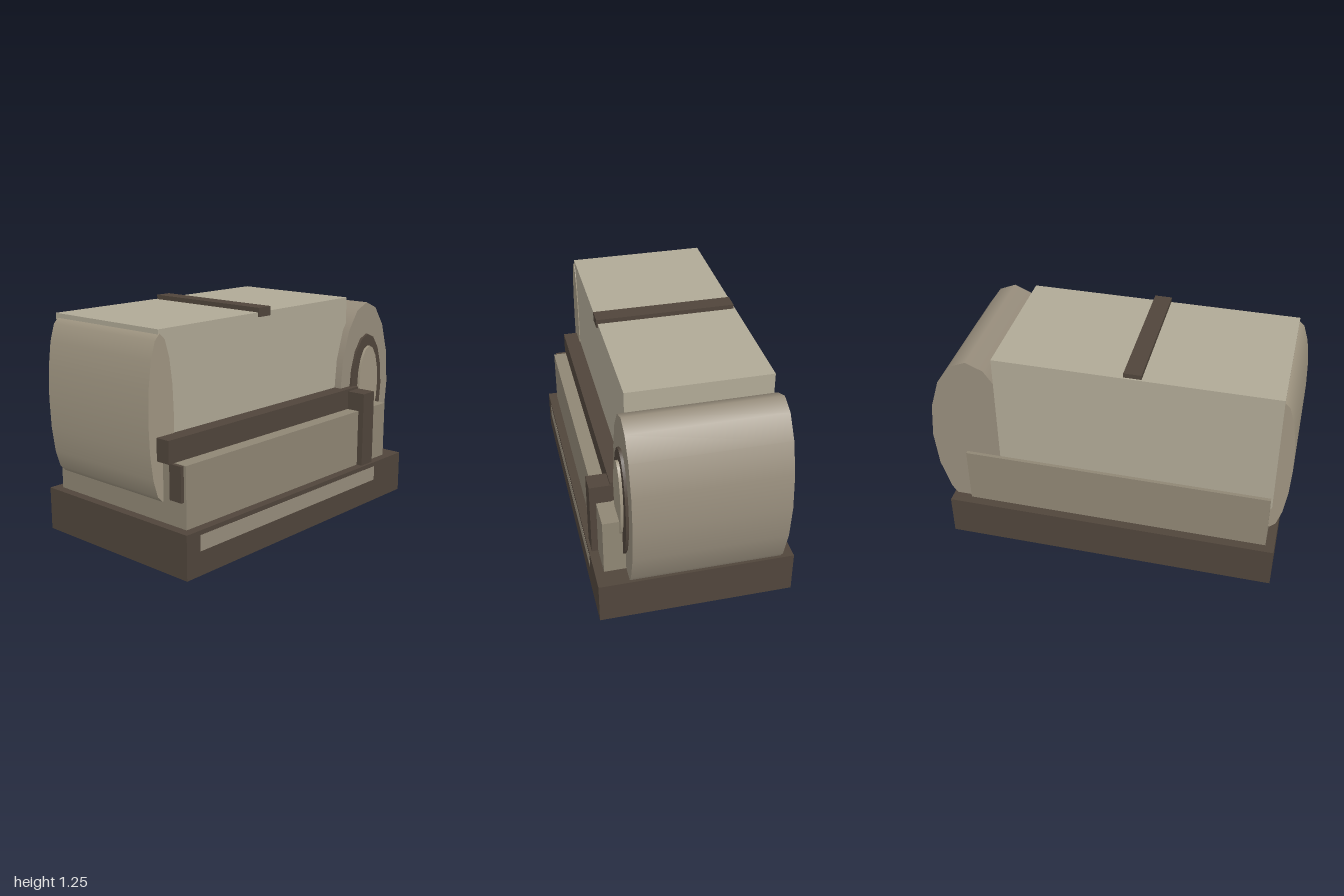
import * as THREE from 'three';

const mat = (color) => new THREE.MeshStandardMaterial({ color });

export function createModel() {
  const model = new THREE.Group();
  const dark = mat(0x50453b);
  const pale = mat(0xb0a996);
  const mid = mat(0x8f8674);
  const drumTone = mat(0x978d7c);
  const discTone = mat(0xa09682);

  // Box given by its limits along each axis
  function box(name, material, [x0, x1], [y0, y1], [z0, z1]) {
    const mesh = new THREE.Mesh(new THREE.BoxGeometry(x1 - x0, y1 - y0, z1 - z0), material);
    mesh.position.set((x0 + x1) / 2, (y0 + y1) / 2, (z0 + z1) / 2);
    mesh.name = name;
    model.add(mesh);
  }

  // Elliptical drum lying along z
  function drum(name, material, x, y, rx, ry, [z0, z1], sides = 16) {
    const geometry = new THREE.CylinderGeometry(1, 1, z1 - z0, sides);
    geometry.rotateX(Math.PI / 2);
    geometry.scale(rx, ry, 1);
    const mesh = new THREE.Mesh(geometry, material);
    mesh.position.set(x, y, (z0 + z1) / 2);
    mesh.name = name;
    model.add(mesh);
  }

  // Plinth with a pale strip let into its front
  box('base', dark, [-0.96, 0.91], [0, 0.24], [-0.535, 0.535]);
  box('baseStrip', drumTone, [-0.865, 0.635], [0.13, 0.215], [0.5, 0.536]);

  // Lower and upper body, with a band over the top
  box('lowerBody', mid, [-0.91, 0.8], [0.24, 0.57], [-0.485, 0.485]);
  box('upperBody', pale, [-0.92, 0.605], [0.5, 1.22], [-0.465, 0.32]);
  box('topBand', dark, [-0.195, -0.1], [1.195, 1.245], [-0.455, 0.328]);

  // Rounded ends
  drum('largeDrum', drumTone, 0.75, 0.655, 0.245, 0.525, [-0.465, 0.365]);
  drum('slimDrum', discTone, -0.915, 0.775, 0.086, 0.425, [-0.45, 0.325]);

  // Rim and disc on the front of the large drum
  drum('drumRim', dark, 0.75, 0.66, 0.155, 0.33, [0.36, 0.38]);
  drum('drumDisc', discTone, 0.75, 0.685, 0.095, 0.235, [0.37, 0.395]);

  // Front rail, its post and the small end plate
  box('frontRail', dark, [-0.95, 0.625], [0.57, 0.69], [0.32, 0.408]);
  box('frontPost', dark, [0.525, 0.63], [0.24, 0.677], [0.4, 0.52]);
  box('endPlate', dark, [-0.93, -0.9], [0.38, 0.568], [0.39, 0.47]);

  return model;
}
